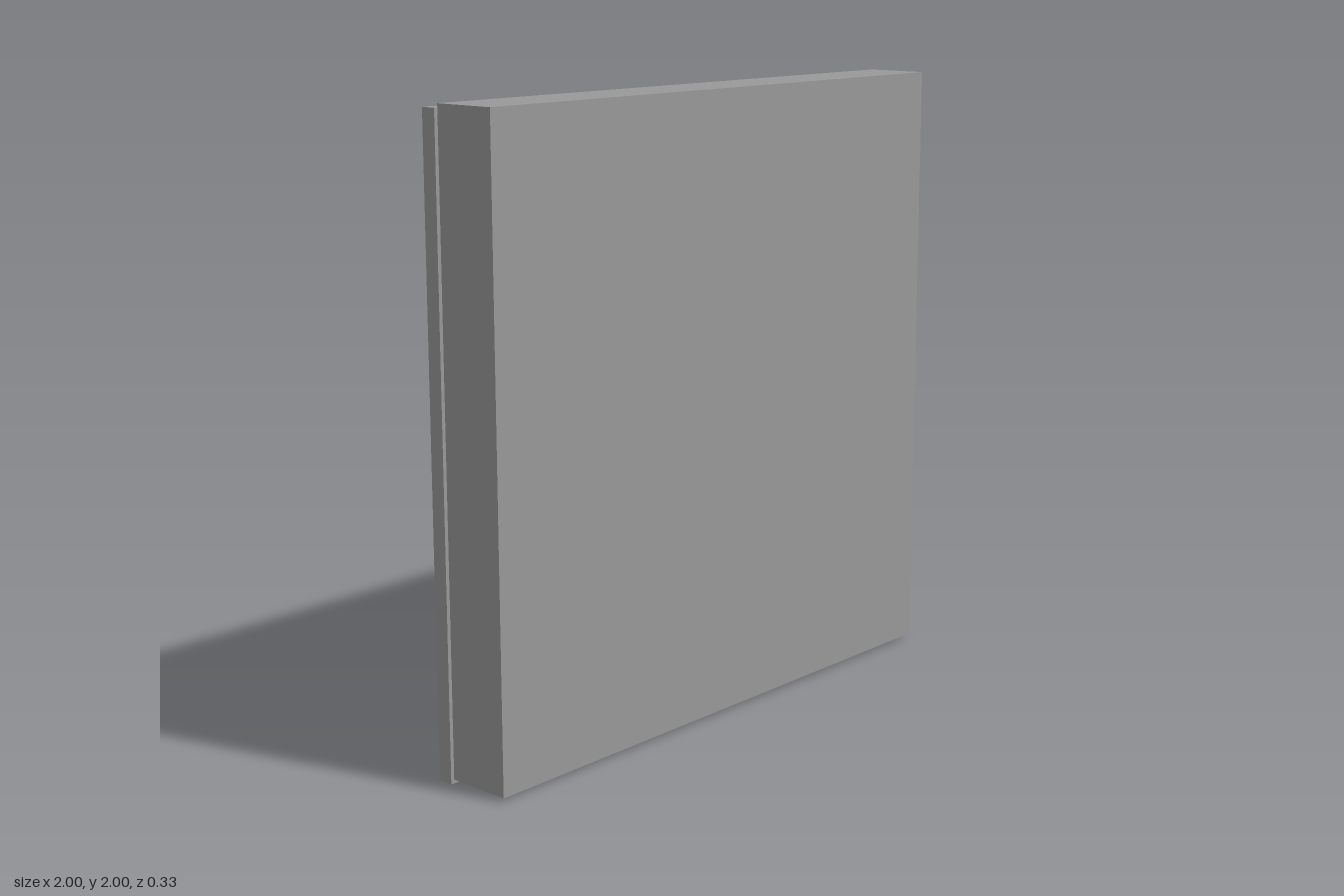
import * as THREE from 'three';

// Flat-shaded geometry from four-cornered faces
function quads(faces) {
  const pos = [];
  for (const [a, b, c, d] of faces) pos.push(...a, ...b, ...c, ...a, ...c, ...d);
  const g = new THREE.BufferGeometry();
  g.setAttribute('position', new THREE.Float32BufferAttribute(pos, 3));
  g.computeVertexNormals();
  return g;
}

// Sweep a [halfSize, z] profile round a square with mitred corners
function squareLoft(profile) {
  const corners = [[1, -1], [1, 1], [-1, 1], [-1, -1]];
  const at = ([h, z], k) => [corners[k % 4][0] * h, corners[k % 4][1] * h, z];
  const faces = [];
  for (let i = 0; i < profile.length - 1; i++)
    for (let k = 0; k < 4; k++)
      faces.push([at(profile[i], k), at(profile[i + 1], k), at(profile[i + 1], k + 1), at(profile[i], k + 1)]);
  return quads(faces);
}

// Open strip: a line of [y, z] points stretched along x
function strip(points, halfX) {
  return quads(points.slice(1).map(([y, z], i) => {
    const [y0, z0] = points[i];
    return [[-halfX, y0, z0], [halfX, y0, z0], [halfX, y, z], [-halfX, y, z]];
  }));
}

export function createModel() {
  const group = new THREE.Group();
  const frameGrey = new THREE.MeshStandardMaterial({ color: 0x999999 });
  frameGrey.name = 'frameGrey';
  const panelGrey = new THREE.MeshStandardMaterial({ color: 0xdcdcdc });
  panelGrey.name = 'panelGrey';

  const add = (name, geometry, material, x, y) => {
    const mesh = new THREE.Mesh(geometry, material);
    mesh.name = name;
    mesh.position.set(x, y, 0);
    group.add(mesh);
  };

  // Shallow box with a plain front and a rim at the back
  add('housing', squareLoft([[0, 0.165], [0.994, 0.165], [0.994, -0.047], [0.88, -0.047]]),
    frameGrey, 0.006, 1.006);

  // Ridged frame set slightly off the housing, with the inner walls of the recess
  add('ridgedFrame', squareLoft([[0.88, -0.047], [0.994, -0.047], [0.994, -0.097], [0.922, -0.135], [0.875, -0.097], [0.875, 0.15]]),
    frameGrey, -0.006, 0.994);

  // Light panel at the bottom of the recess
  const panel = new THREE.PlaneGeometry(1.75, 1.75).rotateY(Math.PI).translate(0, 0, 0.15);
  add('innerPanel', panel, panelGrey, -0.006, 0.994);

  // Five V-shaped slats across the opening
  const slat = strip([[0.073, -0.13], [0, -0.167], [-0.073, -0.13]], 0.92);
  for (let i = 0; i < 5; i++) add('slat' + (i + 1), slat, frameGrey, -0.006, 0.315 + i * 0.351);

  return group;
}
